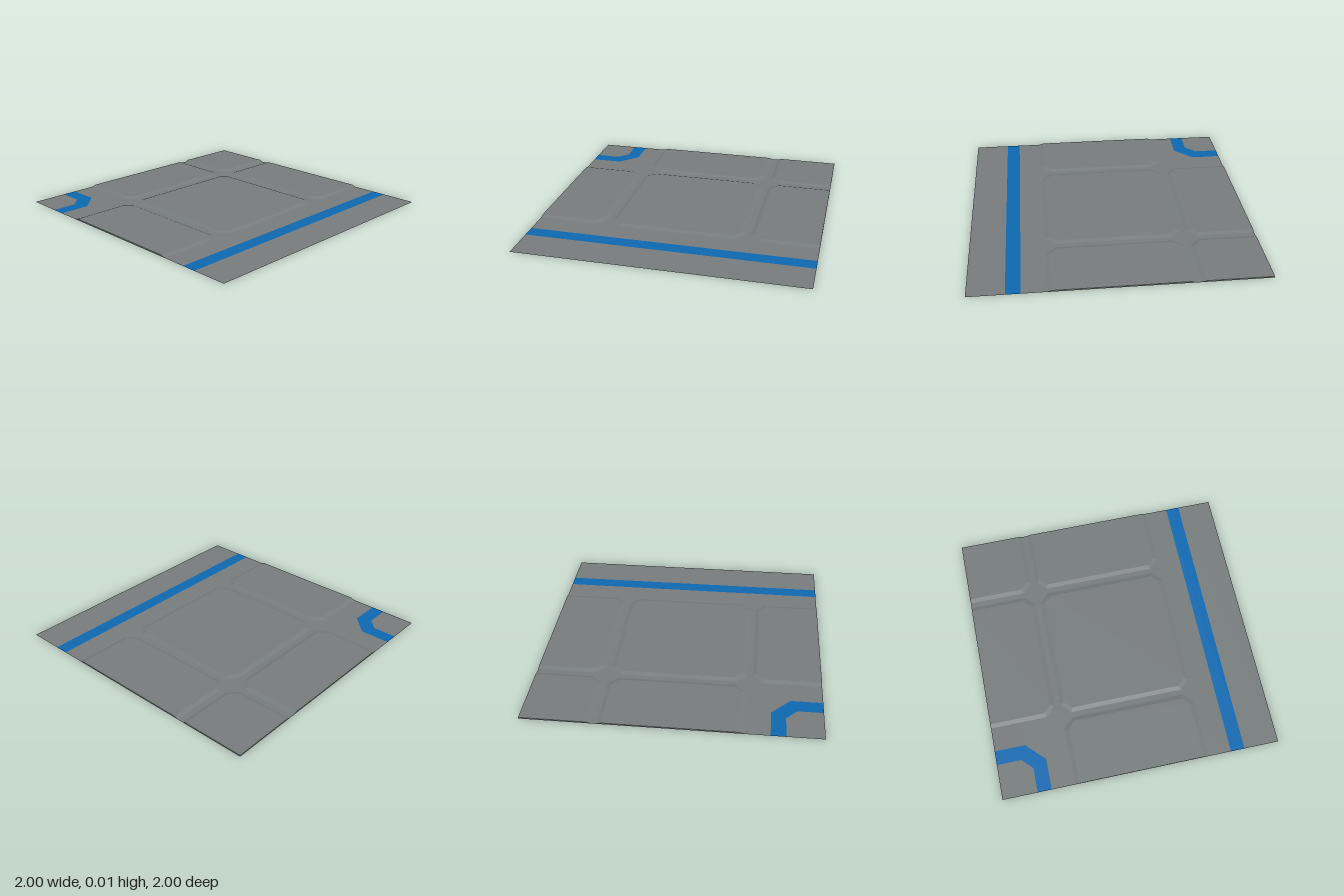
import * as THREE from 'three';

const HEIGHT = 0.01; // panel thickness
const BEVEL = 0.03; // sloped rim width
const CUT = 0.07; // clipped corner size

const grey = new THREE.MeshStandardMaterial({ color: 0x767b7b, side: THREE.DoubleSide });
grey.name = 'floor grey';
const blue = new THREE.MeshStandardMaterial({ color: 0x0d68b0, side: THREE.DoubleSide });
blue.name = 'marking blue';

// Flat piece of ground from [x, z] corners
function flat(name, points, material) {
  const shape = new THREE.Shape(points.map(([x, z]) => new THREE.Vector2(x, -z)));
  const mesh = new THREE.Mesh(new THREE.ShapeGeometry(shape).rotateX(-Math.PI / 2), material);
  mesh.name = name;
  return mesh;
}

// Outline of a panel, inset from every side that is not on the tile border
function outline(x0, x1, z0, z1, inset, y) {
  const move = (v, s) => (Math.abs(v) === 1 ? v : v + s * inset);
  const cut = CUT - inset * (2 - Math.SQRT2);
  const ring = [];
  [[x0, z0, 1, 1], [x0, z1, 1, -1], [x1, z1, -1, -1], [x1, z0, -1, 1]].forEach(([cx, cz, sx, sz], i) => {
    const x = move(cx, sx), z = move(cz, sz);
    if (Math.abs(cx) === 1 || Math.abs(cz) === 1) {
      ring.push([x, y, z]);
      return;
    }
    const pair = [[x + sx * cut, y, z], [x, y, z + sz * cut]];
    ring.push(...(i % 2 ? pair.reverse() : pair));
  });
  return ring;
}

// Raised slab with sloped rim and clipped inner corners
function panel(name, x0, x1, z0, z1) {
  const low = outline(x0, x1, z0, z1, 0, 0);
  const top = outline(x0, x1, z0, z1, BEVEL, HEIGHT);
  const positions = [];
  const tri = (a, b, c) => positions.push(...a, ...b, ...c);
  for (let i = 0; i < low.length; i++) {
    const j = (i + 1) % low.length;
    tri(low[i], low[j], top[j]);
    tri(low[i], top[j], top[i]);
    if (i > 0 && j > 0) tri(top[0], top[i], top[j]);
  }
  const geometry = new THREE.BufferGeometry();
  geometry.setAttribute('position', new THREE.Float32BufferAttribute(positions, 3));
  geometry.computeVertexNormals();
  const mesh = new THREE.Mesh(geometry, grey);
  mesh.name = name;
  return mesh;
}

export function createModel() {
  const group = new THREE.Group();
  group.name = 'floorTile';

  // Ground, split around the painted markings
  const outer = [[-1, 0.65], [-0.78, 0.65], [-0.65, 0.78], [-0.65, 1]];
  const inner = [[-0.75, 1], [-0.75, 0.825], [-0.825, 0.75], [-1, 0.75]];
  group.add(
    flat('mainFloor', [[-1, -1], ...outer, [0.65, 1], [0.65, -1]], grey),
    flat('sideFloor', [[0.75, -1], [0.75, 1], [1, 1], [1, -1]], grey),
    flat('cornerFloor', [...inner, [-1, 1]], grey),
    flat('straightStripe', [[0.65, -1], [0.65, 1], [0.75, 1], [0.75, -1]], blue),
    flat('cornerStripe', [...outer, ...inner], blue),
  );

  // Raised panels; the front-left square stays bare for the corner stripe
  group.add(
    panel('backLeftPanel', -1, -0.52, -1, -0.52),
    panel('backPanel', -0.48, 0.48, -1, -0.52),
    panel('middleLeftPanel', -1, -0.52, -0.48, 0.48),
    panel('middlePanel', -0.48, 0.48, -0.48, 0.48),
    panel('frontPanel', -0.48, 0.48, 0.52, 1),
  );
  return group;
}
